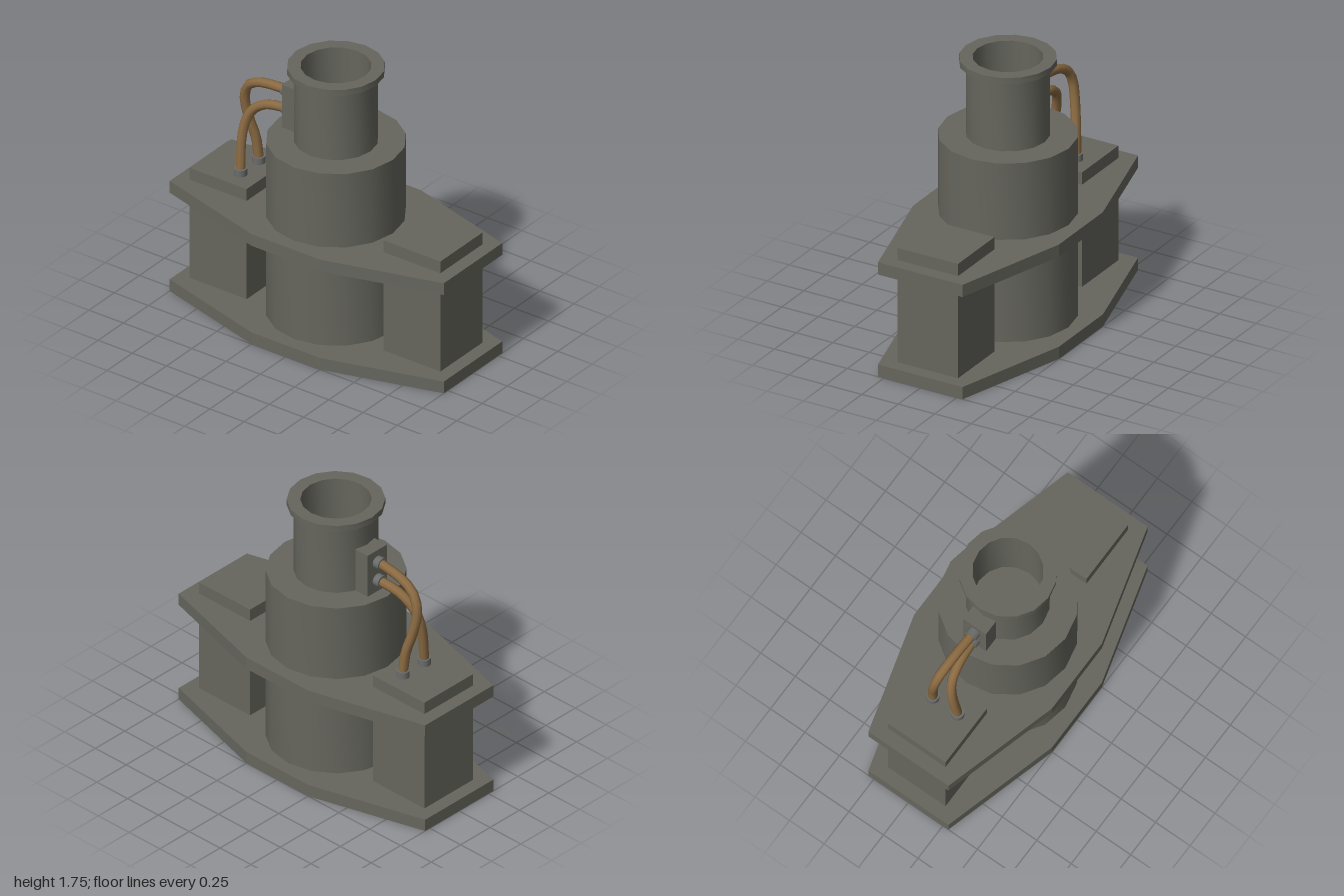
import * as THREE from 'three';
import { toCreasedNormals } from 'three/addons/utils/BufferGeometryUtils.js';

const material = (name, color) => {
  const m = new THREE.MeshStandardMaterial({ color });
  m.name = name;
  return m;
};

export function createModel() {
  const model = new THREE.Group();
  model.name = 'towerWithHoses';
  const grey = material('oliveGrey', 0x66665e);
  const steel = material('steelGrey', 0x6b6c6c);
  const brown = material('hoseBrown', 0x8a6a42);

  const add = (name, geometry, mat, x = 0, y = 0, z = 0) => {
    const mesh = new THREE.Mesh(geometry, mat);
    mesh.name = name;
    mesh.position.set(x, y, z);
    model.add(mesh);
    return mesh;
  };
  const box = (name, w, h, d, x, y, z) =>
    add(name, new THREE.BoxGeometry(w, h, d), grey, x, y + h / 2, z);
  const turned = (name, profile) => {
    const lathe = new THREE.LatheGeometry(profile.map(p => new THREE.Vector2(...p)), 16);
    add(name, toCreasedNormals(lathe, Math.PI / 6), grey);
  };

  // Two matching eight-sided plates
  const outline = [[1, 0.29], [0.25, 0.5], [-0.25, 0.5], [-1, 0.29],
    [-1, -0.29], [-0.25, -0.5], [0.25, -0.5], [1, -0.29]];
  const plate = new THREE.ExtrudeGeometry(
    new THREE.Shape(outline.map(p => new THREE.Vector2(...p))),
    { depth: 0.08, bevelEnabled: false });
  plate.rotateX(-Math.PI / 2);
  add('basePlate', plate, grey);
  add('upperPlate', plate, grey, 0, 0.67, 0);

  // Side pillars passing through the upper plate
  for (const [name, side] of [['leftPillar', 1], ['rightPillar', -1]])
    box(name, 0.415, 0.75, 0.415, side * 0.707, 0.08, 0);

  // Central drum, and the hollow barrel with its rim
  turned('drum', [[0.415, 0.08], [0.415, 1.25], [0, 1.25]]);
  turned('barrel', [[0.25, 1.25], [0.25, 1.71], [0.29, 1.71], [0.29, 1.75],
    [0.21, 1.75], [0.21, 1.25]]);

  // Junction box on the barrel
  box('junctionBox', 0.1, 0.29, 0.165, -0.285, 1.25, 0);

  // Hoses from the junction box to the right pillar, with a fitting at each end
  const fitting = new THREE.CylinderGeometry(0.04, 0.04, 0.045, 12);
  const hoses = [
    ['upperHose', [[-0.36, 1.46, 0], [-0.54, 1.44, -0.01], [-0.645, 1.39, -0.02],
      [-0.687, 1.31, -0.03], [-0.69, 1.23, -0.04], [-0.67, 1.11, -0.06],
      [-0.643, 1, -0.08], [-0.63, 0.86, -0.09]]],
    ['lowerHose', [[-0.36, 1.335, 0], [-0.5, 1.315, 0.01], [-0.59, 1.255, 0.025],
      [-0.63, 1.165, 0.045], [-0.64, 1.06, 0.065], [-0.63, 0.86, 0.09]]],
  ];
  for (const [name, path] of hoses) {
    const curve = new THREE.CatmullRomCurve3(path.map(p => new THREE.Vector3(...p)));
    add(name, new THREE.TubeGeometry(curve, 14, 0.03, 8), brown);
    const start = path[0], end = path[path.length - 1];
    add(name + 'TopFitting', fitting, steel, -0.355, start[1], 0).rotation.z = Math.PI / 2;
    add(name + 'BottomFitting', fitting, steel, end[0], 0.852, end[2]);
  }
  return model;
}
